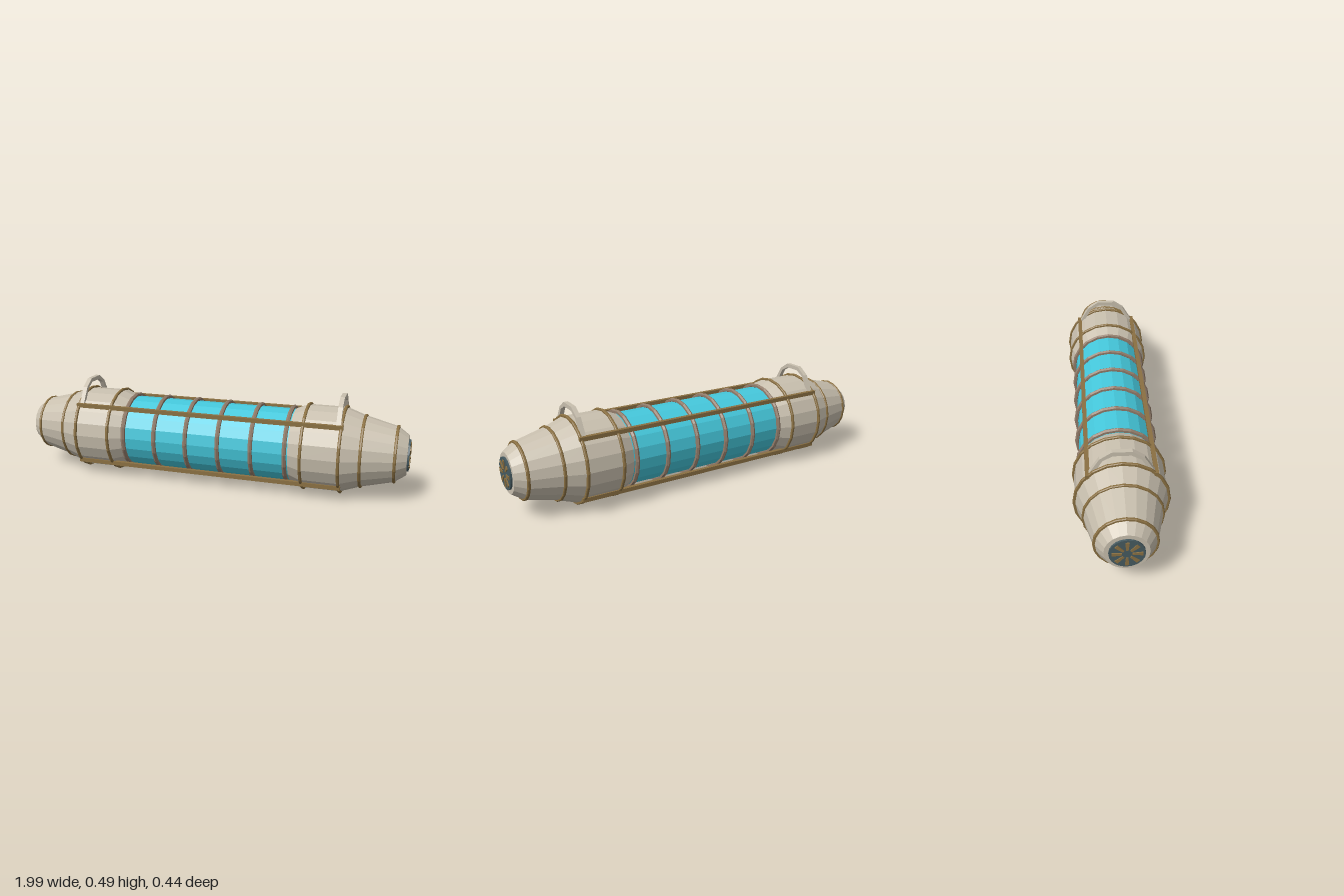
import * as THREE from 'three';

const SIDES = 20;
const AXIS_Y = 0.22;

export function createModel() {
  const model = new THREE.Group();
  model.name = 'energyCanister';

  const material = (name, color) => {
    const m = new THREE.MeshStandardMaterial({ color, flatShading: true });
    m.name = name;
    return m;
  };
  const shell = material('warm grey shell', 0xc8bfae);
  const glow = material('cyan core', 0x45c8dc);
  const brass = material('dark brass', 0x8a7042);
  const copper = material('dull copper', 0x927c6a);
  const slate = material('slate vent', 0x465a60);

  const add = (parent, name, geometry, mat) => {
    const mesh = new THREE.Mesh(geometry, mat);
    mesh.name = name;
    parent.add(mesh);
    return mesh;
  };

  // Solid of revolution about the x axis; points are [x, radius] with x rising
  const turned = (points) => {
    const g = new THREE.LatheGeometry(points.map(([x, r]) => new THREE.Vector2(r, x)), SIDES);
    return g.rotateZ(-Math.PI / 2);
  };
  // Flat hoop around the x axis
  const band = (x, outer, width) => turned([
    [x - width / 2, outer - 0.014], [x - width / 2, outer - 0.003],
    [x - width / 4, outer], [x + width / 4, outer],
    [x + width / 2, outer - 0.003], [x + width / 2, outer - 0.014],
  ]);

  const body = new THREE.Group();
  body.name = 'body';
  body.position.y = AXIS_Y;
  model.add(body);

  // Glowing centre tube
  add(body, 'coreTube', turned([[-0.45, 0.18], [0.45, 0.18]]), glow);

  // Hoops around the tube
  for (let i = 0; i < 6; i++) {
    const hoop = new THREE.TorusGeometry(0.188, 0.011, 6, SIDES).rotateY(Math.PI / 2);
    add(body, 'tubeHoop', hoop, copper).position.x = -0.42 + i * 0.168;
  }

  // Long square rails outside the tube
  for (const y of [-1, 1]) {
    for (const z of [-1, 1]) {
      add(body, 'rail', new THREE.BoxGeometry(1.38, 0.02, 0.02), brass)
        .position.set(0, y * 0.149, z * 0.149);
    }
  }

  // Trapezoid vent blade, pointing along +y
  const bladeShape = new THREE.Shape([
    new THREE.Vector2(-0.005, 0.022), new THREE.Vector2(0.005, 0.022),
    new THREE.Vector2(0.009, 0.065), new THREE.Vector2(-0.009, 0.065),
  ]);

  // Angular carrying handle, drawn with z across
  const outer = [[0.158, 0.355], [0.098, 0.455], [0.045, 0.491]];
  const inner = [[0.04, 0.471], [0.084, 0.446], [0.135, 0.355]];
  const half = (list, s) => list.map(([z, y]) => new THREE.Vector2(z * s, y - AXIS_Y));
  const handleShape = new THREE.Shape([
    ...half(outer, 1), ...half([...outer].reverse(), -1),
    ...half([...inner].reverse(), -1), ...half(inner, 1),
  ]);

  // Two matching end caps, the second turned half way round
  for (const side of [1, -1]) {
    const cap = new THREE.Group();
    cap.name = side > 0 ? 'leftCap' : 'rightCap';
    cap.rotation.y = side > 0 ? 0 : Math.PI;
    body.add(cap);

    add(cap, 'capShell', turned([
      [0.435, 0.17], [0.435, 0.184], [0.495, 0.208], [0.68, 0.208], [0.775, 0.174],
      [0.93, 0.135], [0.984, 0.097], [0.984, 0],
    ]), shell);

    // Trim bands at each change of slope
    for (const [x, r] of [[0.5, 0.218], [0.68, 0.218], [0.775, 0.181], [0.93, 0.141]]) {
      add(cap, 'trimBand', band(x, r, 0.014), brass);
    }

    // End vent with radial blades
    add(cap, 'ventDisc', turned([[0.975, 0.077], [0.993, 0.077], [0.993, 0]]), slate);
    for (let i = 0; i < 8; i++) {
      const blade = new THREE.ExtrudeGeometry(bladeShape, { depth: 0.006, bevelEnabled: false });
      blade.rotateZ(i * Math.PI / 4).rotateY(Math.PI / 2);
      add(cap, 'ventBlade', blade, brass).position.x = 0.991;
    }

    const handle = new THREE.ExtrudeGeometry(handleShape, { depth: 0.022, bevelEnabled: false });
    add(cap, 'handle', handle.rotateY(Math.PI / 2), shell).position.x = 0.655;
  }

  return model;
}
